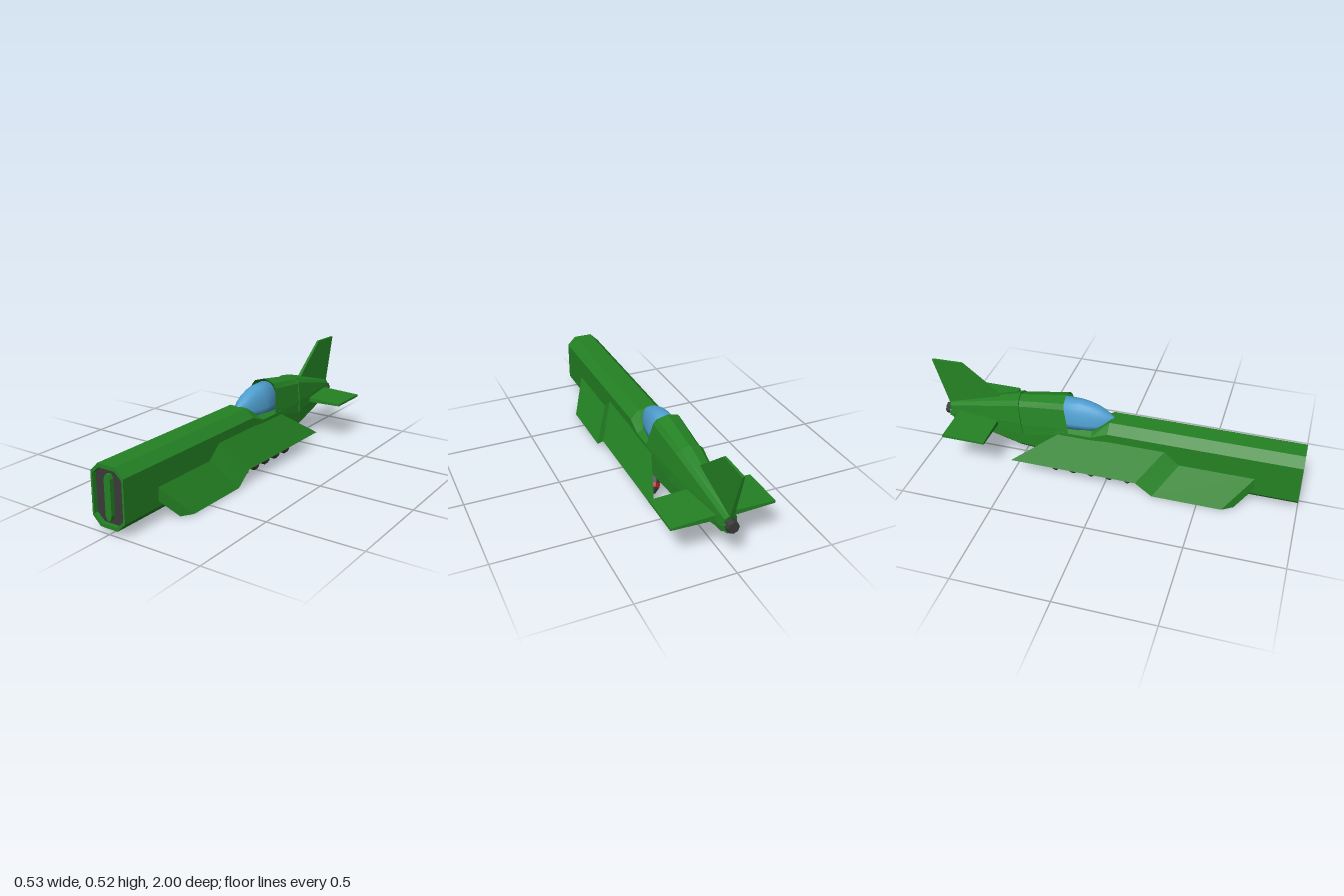
import * as THREE from 'three';

const mat = (color, side = THREE.FrontSide) =>
  new THREE.MeshStandardMaterial({ color, flatShading: true, side });
const GREEN = mat(0x248224), SHELL = mat(0x248224, THREE.DoubleSide);
const DARK = mat(0x3a3a3a), RED = mat(0xb02222);
const GLASS = new THREE.MeshStandardMaterial({ color: 0x4f9fd0, side: THREE.DoubleSide });

// Full ring from a right-hand half profile listed bottom to top
function mirrorRing(half) {
  const left = half.filter(p => p[0] > 1e-6).map(([x, y, z]) => [-x, y, z]).reverse();
  return [...half, ...left];
}

// Skin over rings ordered front to back, each counter-clockwise seen from the front
function loft(rings, capFront = true, capBack = true, smooth = false) {
  const n = rings[0].length, pos = rings.flat(2), idx = [];
  for (let i = 0; i < rings.length - 1; i++)
    for (let j = 0; j < n; j++) {
      const a = i * n + j, b = i * n + (j + 1) % n;
      idx.push(a, a + n, b + n, a, b + n, b);
    }
  const cap = (r, flip) => {
    const c = pos.length / 3;
    for (let k = 0; k < 3; k++) pos.push(rings[r].reduce((s, p) => s + p[k], 0) / n);
    for (let j = 0; j < n; j++) {
      const a = r * n + j, b = r * n + (j + 1) % n;
      flip ? idx.push(c, b, a) : idx.push(c, a, b);
    }
  };
  if (capFront) cap(0, false);
  if (capBack) cap(rings.length - 1, true);
  let g = new THREE.BufferGeometry();
  g.setAttribute('position', new THREE.Float32BufferAttribute(pos, 3));
  g.setIndex(idx);
  if (!smooth) g = g.toNonIndexed();
  g.computeVertexNormals();
  return g;
}

// Chamfered box section
const octagon = (w, wt, b, bSide, tSide, t) => [[wt, b], [w, bSide], [w, tSide], [wt, t]];
const shapeOf = half => new THREE.Shape(
  mirrorRing(half.map(([x, y]) => [x, y, 0])).map(([x, y]) => new THREE.Vector2(x, y)));

export function createModel() {
  const model = new THREE.Group();
  const add = (name, geo, material, parent = model) => {
    const m = new THREE.Mesh(geo, material);
    m.name = name;
    parent.add(m);
    return m;
  };

  // Long hull, lowered at the cockpit and tapering under the tail
  const nose = octagon(0.095, 0.05, 0.033, 0.078, 0.29, 0.335);
  const hull = [
    [0.97, nose],
    [0.27, nose],
    [0.16, octagon(0.095, 0.05, 0.083, 0.12, 0.29, 0.335)],
    [0, octagon(0.095, 0.05, 0.083, 0.12, 0.29, 0.335)],
    [-0.09, octagon(0.098, 0.065, 0.083, 0.12, 0.255, 0.272)],
    [-0.25, octagon(0.098, 0.065, 0.083, 0.12, 0.255, 0.272)],
    [-0.5, octagon(0.084, 0.05, 0.09, 0.125, 0.2, 0.22)],
    [-0.92, octagon(0.034, 0.018, 0.175, 0.19, 0.22, 0.24)],
  ].map(([z, half]) => mirrorRing(half.map(([x, y]) => [x, y, z])));
  add('hull', loft(hull), GREEN);

  // Nose rim, dark intake panel and central bar
  const rim = shapeOf(nose);
  const opening = octagon(0.085, 0.045, 0.05, 0.086, 0.28, 0.315);
  rim.holes.push(shapeOf(opening));
  add('noseRim', new THREE.ExtrudeGeometry(rim, { depth: 0.03, bevelEnabled: false })
    .translate(0, 0, 0.97), GREEN);
  add('nosePanel', new THREE.ExtrudeGeometry(shapeOf(opening), { depth: 0.012, bevelEnabled: false })
    .translate(0, 0, 0.965), DARK);
  const bar = [[0.008, 0.07], [0.018, 0.095], [0.018, 0.27], [0.008, 0.29]];
  add('noseBar', new THREE.ExtrudeGeometry(shapeOf(bar), { depth: 0.03, bevelEnabled: false })
    .translate(0, 0, 0.97), GREEN);

  // Bubble canopy: [z, half width, sill height, top height]
  const canopy = [
    [0.01, 0.012, 0.325, 0.336], [-0.03, 0.042, 0.3, 0.363], [-0.07, 0.056, 0.275, 0.386],
    [-0.12, 0.065, 0.268, 0.402], [-0.17, 0.071, 0.268, 0.41], [-0.26, 0.077, 0.268, 0.411],
  ].map(([z, w, b, t]) => {
    const half = [];
    for (let i = 0; i <= 8; i++) {
      const a = i / 8 * Math.PI / 2;
      half.push([w * Math.cos(a) ** 0.8, b + (t - b) * Math.sin(a) ** 0.95, z]);
    }
    half[8][0] = 0;
    return mirrorRing(half);
  });
  add('canopy', loft(canopy, true, true, true), GLASS);

  // Hood behind the canopy, with an open slanted front
  const hoodFront = [[0.1, 0.25, -0.21], [0.095, 0.28, -0.217], [0.075, 0.385, -0.24],
    [0.058, 0.41, -0.245], [0, 0.427, -0.25]];
  const hoodBack = [[0.09, 0.19, -0.47], [0.085, 0.25, -0.48], [0.066, 0.35, -0.495],
    [0.046, 0.372, -0.5], [0, 0.385, -0.505]];
  add('hood', loft([mirrorRing(hoodFront), mirrorRing(hoodBack)], false, true), SHELL);

  // Tail fairing, stepped slightly outside the hood
  const tailFront = hoodBack.map(([x, y, z]) => [x * 1.06, y + 0.007, z]);
  const tailBack = [[0.036, 0.178, -0.9], [0.037, 0.205, -0.905], [0.03, 0.25, -0.915],
    [0.016, 0.264, -0.92], [0, 0.27, -0.925]];
  add('tailFairing', loft([mirrorRing(tailFront), mirrorRing(tailBack)]), GREEN);
  add('tailNozzle', new THREE.CylinderGeometry(0.03, 0.04, 0.09, 8)
    .rotateX(-Math.PI / 2).translate(0, 0.215, -0.9), DARK);

  // Tail fin, thinner toward the tip
  const finShape = new THREE.Shape([[-0.6, 0.335], [-0.83, 0.522], [-1, 0.518], [-0.92, 0.25], [-0.7, 0.25]]
    .map(p => new THREE.Vector2(...p)));
  const fin = new THREE.ExtrudeGeometry(finShape, { depth: 2, bevelEnabled: false })
    .rotateY(-Math.PI / 2).translate(1, 0, 0);
  const fp = fin.attributes.position;
  for (let i = 0; i < fp.count; i++)
    fp.setX(i, fp.getX(i) * THREE.MathUtils.mapLinear(fp.getY(i), 0.25, 0.522, 0.012, 0.006));
  add('tailFin', fin, GREEN);

  // Tailplane, thick at the middle and thin at the tips
  const plane = new THREE.BoxGeometry(0.53, 0.03, 0.235, 2, 1, 1);
  const pp = plane.attributes.position;
  for (let i = 0; i < pp.count; i++)
    if (Math.abs(pp.getX(i)) > 0.2) pp.setY(i, pp.getY(i) * 0.4);
  add('tailplane', plane.translate(0, 0.224, -0.738), GREEN);

  // Drooping wing section: [root z, tip z, height shift]
  const wingRings = [[0.78, 0.63, 0], [0.39, 0.265, 0], [0.31, 0.175, 0.068], [-0.25, -0.51, 0.068]]
    .map(([zr, zt, dy]) => {
      const zAt = x => THREE.MathUtils.mapLinear(x, 0.09, 0.187, zr, zt);
      return [[0.085, 0.192], [0.085, 0.124], [0.15, 0.012], [0.187, 0.012]]
        .map(([x, y]) => [x, y + dy, zAt(x)]);
    });

  for (const [s, side] of [[1, 'left'], [-1, 'right']]) {
    const rings = s > 0 ? wingRings
      : wingRings.map(r => r.map(([x, y, z]) => [-x, y, z]).reverse());
    add(side + 'Wing', loft(rings), GREEN);

    // Row of thrusters leaning outward, down and back
    const axis = new THREE.Vector3(s * 0.4, -0.78, -0.5).normalize();
    for (let i = 0; i < 5; i++) {
      const pod = new THREE.Group();
      pod.name = side + 'Thruster' + (i + 1);
      pod.position.set(s * 0.073, 0.098, 0.15 - i * 0.1);
      pod.quaternion.setFromUnitVectors(new THREE.Vector3(0, -1, 0), axis);
      const stage = (name, top, bottom, from, to, material) =>
        add(name, new THREE.CylinderGeometry(top, bottom, to - from, 8)
          .translate(0, -(from + to) / 2, 0), material, pod);
      stage('body', 0.03, 0.04, -0.02, 0.045, DARK);
      stage('band', 0.041, 0.041, 0.045, 0.068, RED);
      stage('nozzle', 0.04, 0.024, 0.068, 0.1, DARK);
      model.add(pod);
    }
  }
  return model;
}
